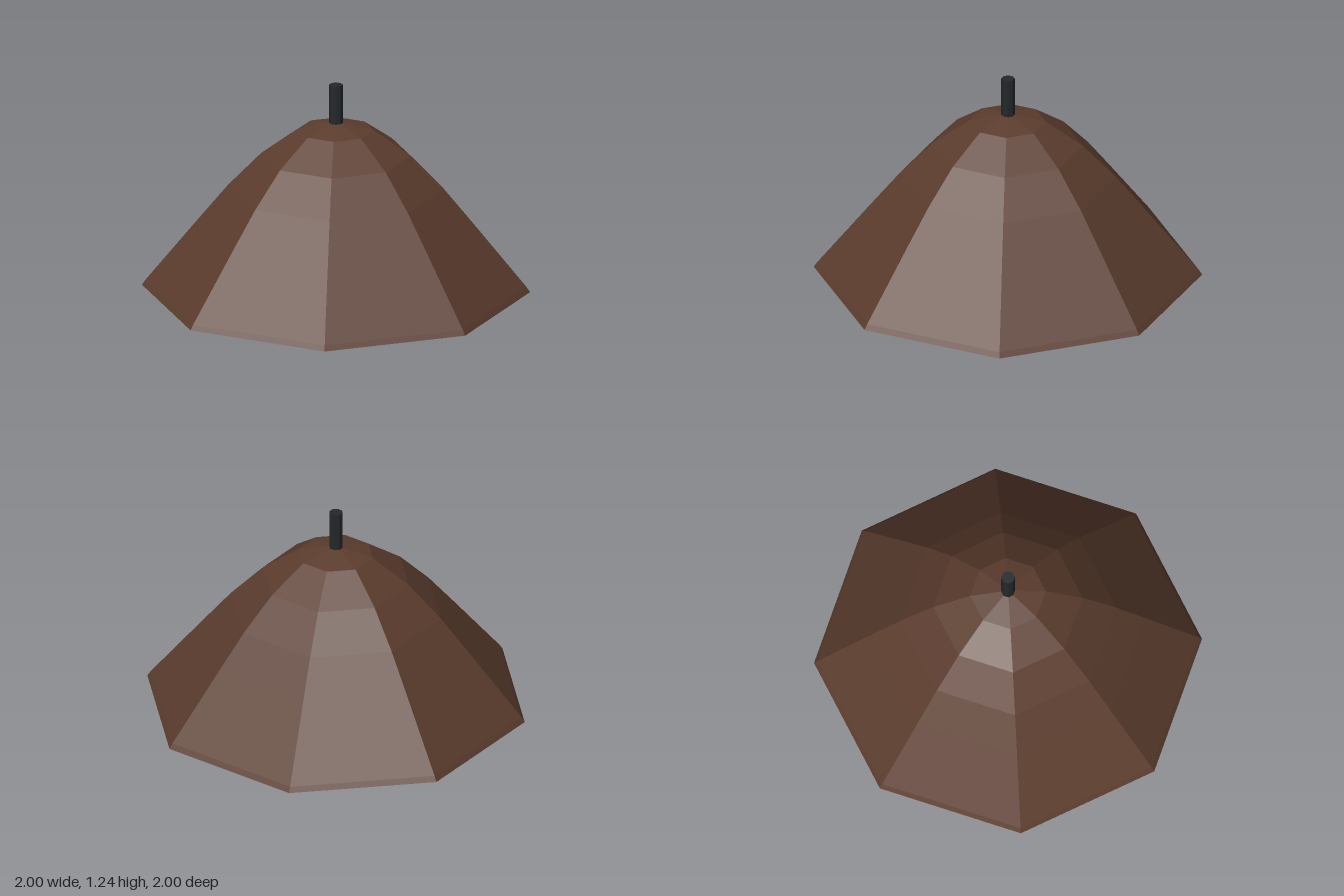
import * as THREE from 'three';

const SIDES = 8;
const FLAT = 1 / Math.cos(Math.PI / SIDES); // flat-to-flat radius -> corner radius

function part(name, geometry, color) {
  const material = new THREE.MeshStandardMaterial({ color, flatShading: true });
  const mesh = new THREE.Mesh(geometry, material);
  mesh.name = name;
  return mesh;
}

function lathe(points, turn) {
  return new THREE.LatheGeometry(points.map(([r, y]) => new THREE.Vector2(r, y)), SIDES, turn);
}

export function createModel() {
  const lamp = new THREE.Group();
  lamp.name = 'pendantLamp';

  // Eight-sided shade: a thin shell running down the inside, round the rim and up the outside
  const outer = [
    [1, 0.04], [0.982, 0.07], [0.71, 0.435], [0.555, 0.64],
    [0.385, 0.83], [0.195, 0.975], [0, 1.025],
  ];
  const inner = outer.slice(1).reverse().map(([r, y]) => [Math.max(0, r - 0.008), y - 0.015]);
  const shell = [...inner, [0.98, 0.04], ...outer].map(([r, y]) => [r * FLAT, y]);
  lamp.add(part('shade', lathe(shell, Math.PI / SIDES), 0x5c3d2e));

  // Bulb: round lower half, then a long shoulder narrowing into the neck
  const R = 0.33;
  const bulb = [];
  for (let i = 0; i <= 6; i++) {
    const a = (i * Math.PI) / 12;
    bulb.push([R * Math.sin(a), R * (1 - Math.cos(a))]);
  }
  bulb.push([0.325, 0.45], [0.295, 0.64], [0.22, 0.78], [0.13, 0.88], [0.1, 0.97], [0, 0.97]);
  lamp.add(part('bulb', lathe(bulb, -Math.PI / 16), 0xd6a066));

  // Hanging rod
  const rod = part('rod', new THREE.CylinderGeometry(0.038, 0.038, 0.26, SIDES, 1, false, Math.PI / SIDES), 0x24282a);
  rod.position.y = 1.11;
  lamp.add(rod);

  return lamp;
}
